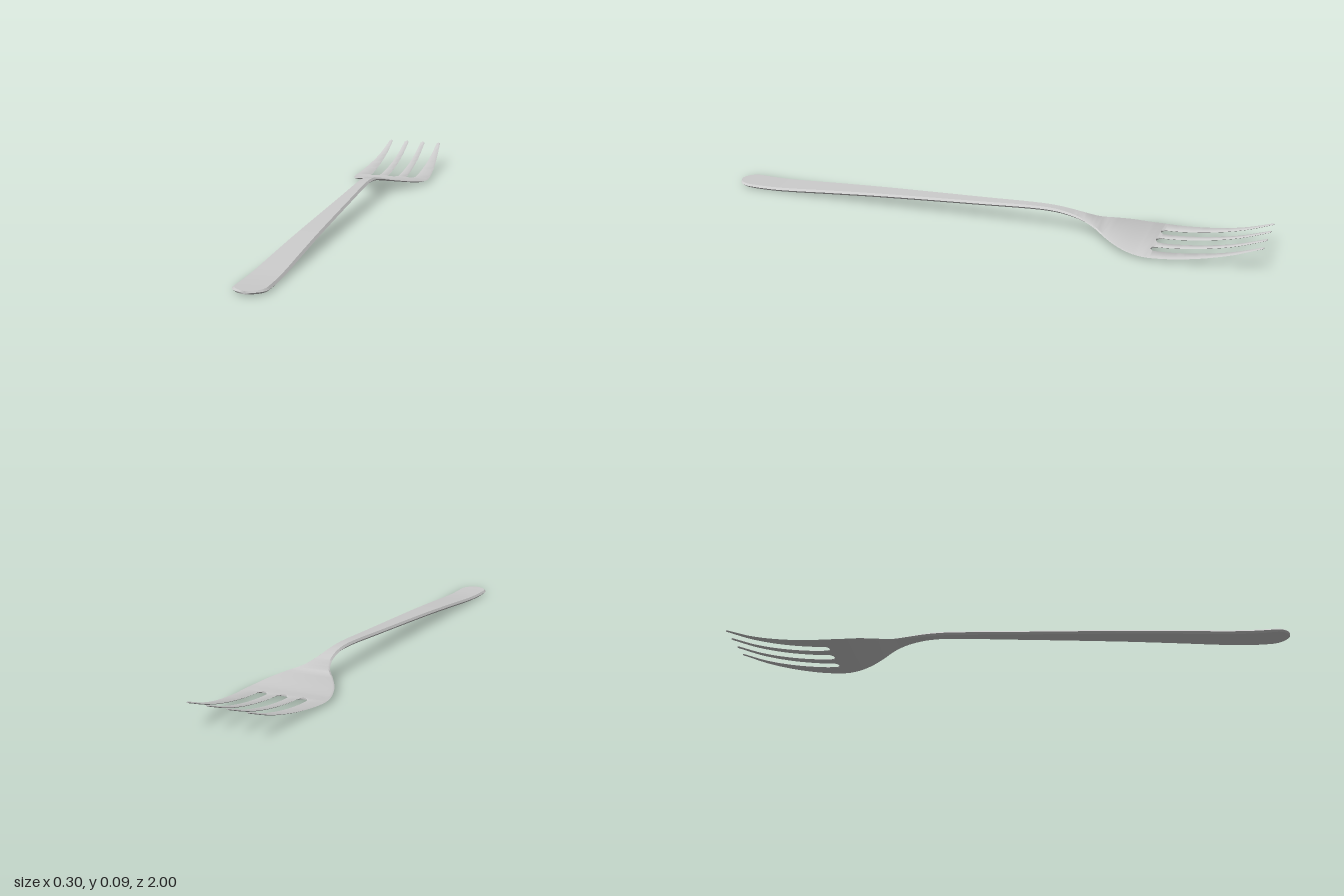
import * as THREE from 'three';
import { toCreasedNormals } from 'three/addons/utils/BufferGeometryUtils.js';

const metal = new THREE.MeshStandardMaterial({ color: 0xcccccc });

// Smooth curve through [z, value] pairs, z descending
function curve(pts) {
  const slope = (i) => {
    const a = pts[Math.max(i - 1, 0)], b = pts[Math.min(i + 1, pts.length - 1)];
    return (b[1] - a[1]) / (b[0] - a[0]);
  };
  return (z) => {
    let i = 0;
    while (i < pts.length - 2 && z < pts[i + 1][0]) i++;
    const [z0, v0] = pts[i], [z1, v1] = pts[i + 1];
    const h = z1 - z0, t = THREE.MathUtils.clamp((z - z0) / h, 0, 1), t2 = t * t, t3 = t2 * t;
    return (2 * t3 - 3 * t2 + 1) * v0 + (t3 - 2 * t2 + t) * h * slope(i)
      + (3 * t2 - 2 * t3) * v1 + (t3 - t2) * h * slope(i + 1);
  };
}

// Side profile, half thickness and outer half width along the length
const height = curve([[1, 0.012], [0.9, 0.009], [0.8, 0.012], [0.6, 0.027], [0.4, 0.041], [0, 0.064],
  [-0.2, 0.075], [-0.28, 0.073], [-0.35, 0.062], [-0.42, 0.044], [-0.5, 0.025], [-0.57, 0.013],
  [-0.63, 0.011], [-0.7, 0.015], [-0.8, 0.029], [-0.9, 0.052], [-1, 0.087]]);
const thick = curve([[1, 0.005], [0.9, 0.007], [0, 0.007], [-0.25, 0.0065], [-0.4, 0.004],
  [-0.6, 0.003], [-0.8, 0.003], [-1, 0.0025]]);
const outer = curve([[1, 0.056], [0.94, 0.056], [0.8, 0.053], [0.4, 0.04], [0, 0.028], [-0.2, 0.023],
  [-0.29, 0.024], [-0.36, 0.033], [-0.41, 0.052], [-0.46, 0.09], [-0.51, 0.122], [-0.56, 0.141],
  [-0.61, 0.15], [-0.66, 0.148], [-0.75, 0.14], [-0.87, 0.126], [-1, 0.111]]);

// Skin bevelled cross-sections { z, x0, x1, b0, b1 }, listed from front to back
function loft(name, sections) {
  const pos = [], idx = [], n = 6;
  for (const { z, x0, x1, b0, b1 } of sections) {
    const y = height(z), t = thick(z), max = (x1 - x0) * 0.35;
    const l = x0 + Math.min(b0, max), r = x1 - Math.min(b1, max);
    pos.push(x1, y, z, r, y + t, z, l, y + t, z, x0, y, z, l, y - t, z, r, y - t, z);
  }
  const last = (sections.length - 1) * n;
  for (let i = 0; i < last; i += n) {
    for (let j = 0; j < n; j++) {
      const k = (j + 1) % n;
      idx.push(i + j, i + n + j, i + k, i + k, i + n + j, i + n + k);
    }
  }
  for (let j = 1; j < n - 1; j++) idx.push(0, j, j + 1, last, last + j + 1, last + j);
  const g = new THREE.BufferGeometry();
  g.setAttribute('position', new THREE.Float32BufferAttribute(pos, 3));
  g.setIndex(idx);
  const mesh = new THREE.Mesh(toCreasedNormals(g, 0.6), metal);
  mesh.name = name;
  return mesh;
}

// Handle with a rounded end, flaring into the bowl
function handleAndBowl() {
  const sections = [], R = 0.055;
  const add = (z, w) => sections.push({ z, x0: -w, x1: w, b0: 0.007, b1: 0.007 });
  for (let i = 0; i < 12; i++) {
    const a = (i / 12) * Math.PI / 2;
    add(1 - R + R * Math.cos(a), Math.max(0.003, outer(1 - R) * Math.sin(a)));
  }
  for (let i = 0; i <= 100; i++) {
    const z = THREE.MathUtils.lerp(1 - R, -0.62, i / 100);
    add(z, outer(z));
  }
  return loft('handleAndBowl', sections);
}

// One tine; slots between tines start with a round end
const ROOT = -0.62, ROUND = 0.02;
function tine(name, isOuter, side) {
  const zs = [];
  for (let i = 0; i < 8; i++) zs.push(ROOT - ROUND * (1 - Math.cos((i / 8) * Math.PI / 2)));
  for (let i = 0; i <= 30; i++) zs.push(THREE.MathUtils.lerp(ROOT - ROUND, -0.992, i / 30));
  for (let i = 1; i <= 5; i++) zs.push(-0.992 - 0.008 * Math.sin((i / 5) * Math.PI / 2));
  const sections = zs.map((z) => {
    const open = Math.sqrt(Math.max(0, 1 - Math.max(0, (z - ROOT + ROUND) / ROUND) ** 2));
    const f = THREE.MathUtils.clamp((ROOT - ROUND - z) / 0.36, 0, 1);
    // edge running from the slot centre to the slot side, then to the tip
    const edge = (centre, base, tip) =>
      THREE.MathUtils.lerp(centre, THREE.MathUtils.lerp(base, tip, f), open);
    let a = isOuter ? edge(0.0735, 0.091, 0.097) : edge(0, 0.02, 0.027);
    let b = isOuter ? outer(z) : edge(0.0735, 0.056, 0.044);
    const tip = Math.sqrt(Math.max(0.04, 1 - Math.max(0, (-0.992 - z) / 0.008) ** 2));
    const mid = (a + b) / 2, half = ((b - a) / 2) * tip;
    a = mid - half;
    b = mid + half;
    const slotBevel = 0.005 * open, outBevel = isOuter ? 0.007 : slotBevel;
    return side > 0
      ? { z, x0: a, x1: b, b0: slotBevel, b1: outBevel }
      : { z, x0: -b, x1: -a, b0: outBevel, b1: slotBevel };
  });
  return loft(name, sections);
}

export function createModel() {
  const fork = new THREE.Group();
  fork.name = 'fork';
  fork.add(handleAndBowl());
  for (const side of [1, -1]) {
    const label = side > 0 ? 'left' : 'right';
    fork.add(tine(label + 'InnerTine', false, side), tine(label + 'OuterTine', true, side));
  }
  return fork;
}
